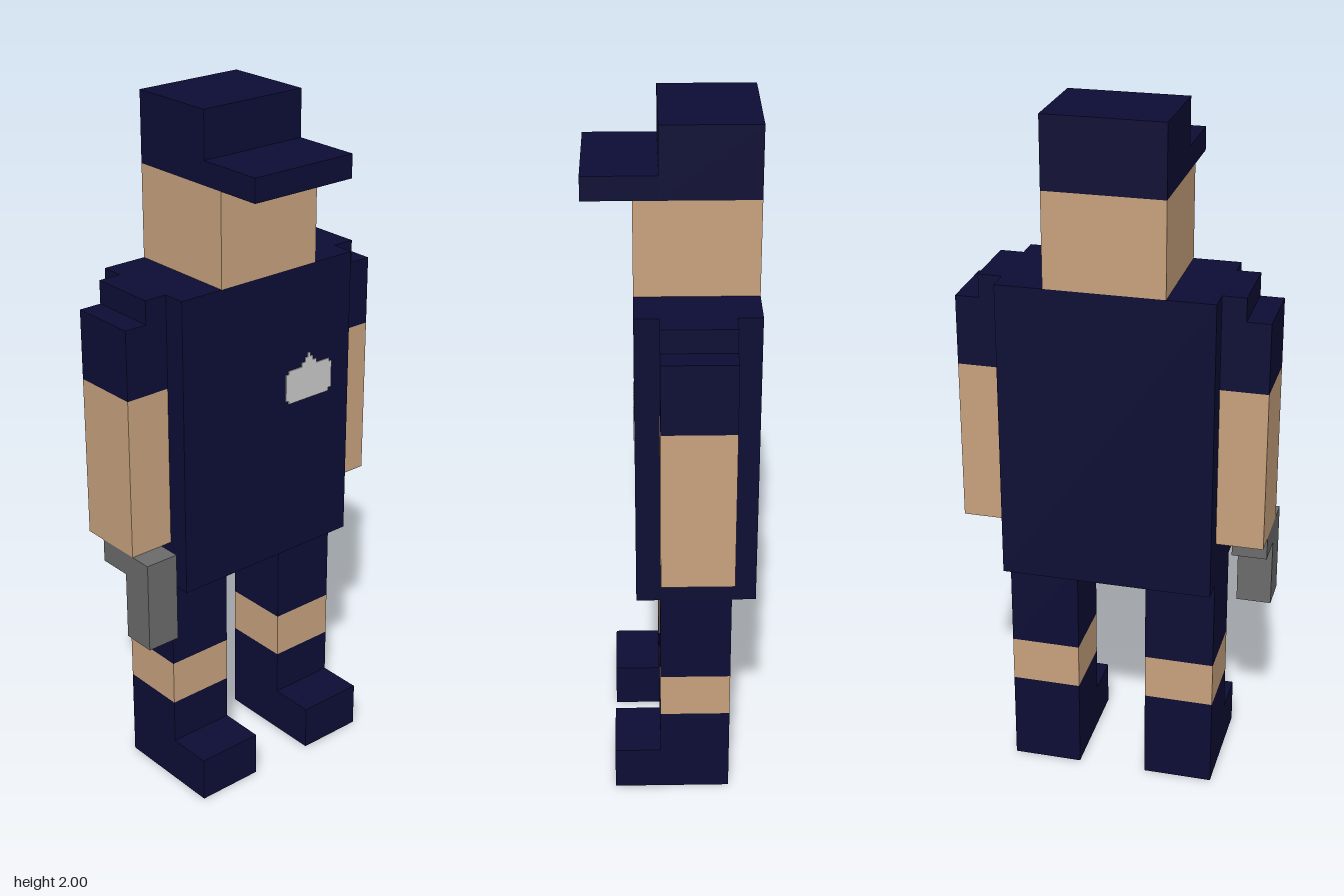
import * as THREE from 'three';

const U = 1 / 15; // the figure is laid out on a grid of 30 blocks in height

function makeMaterial(name, color) {
  const m = new THREE.MeshStandardMaterial({ color });
  m.name = name;
  return m;
}

export function createModel() {
  const navy = makeMaterial('navy cloth', 0x0d0d35);
  const skin = makeMaterial('skin', 0xc9a27e);
  const metal = makeMaterial('dark grey metal', 0x6b6b6b);
  const silver = makeMaterial('silver', 0xcbcbcb);

  const model = new THREE.Group();
  model.name = 'officer';

  // Box from min and max corners, given in blocks
  function block(parent, name, material, [x0, x1], [y0, y1], [z0, z1]) {
    const geometry = new THREE.BoxGeometry((x1 - x0) * U, (y1 - y0) * U, (z1 - z0) * U);
    const mesh = new THREE.Mesh(geometry, material);
    mesh.name = name;
    mesh.position.set((x0 + x1) / 2 * U, (y0 + y1) / 2 * U, (z0 + z1) / 2 * U);
    parent.add(mesh);
    return mesh;
  }

  function group(name) {
    const g = new THREE.Group();
    g.name = name;
    model.add(g);
    return g;
  }

  // Body
  block(model, 'torso', navy, [-4.5, 4.5], [10, 23], [-3.5, 1.5]);

  // Head with peaked cap
  const head = group('head');
  block(head, 'face', skin, [-2.5, 2.5], [23, 27], [-3.5, 1.5]);
  block(head, 'capCrown', navy, [-2.5, 2.5], [27, 30], [-3.5, 0.5]);
  block(head, 'capBrim', navy, [-2.5, 2.5], [27, 28], [0.5, 3.5]);

  // Arms and legs, mirrored
  for (const [side, s] of [['left', 1], ['right', -1]]) {
    const span = (a, b) => (s > 0 ? [a, b] : [-b, -a]);

    const arm = group(side + 'Arm');
    block(arm, 'shoulder', navy, span(4.5, 5.5), [22, 23], [-2.5, 0.5]);
    block(arm, 'sleeve', navy, span(4.5, 6.5), [19, 22], [-2.5, 0.5]);
    block(arm, 'forearm', skin, span(4.5, 6.5), [12, 19], [-2.5, 0.5]);

    const leg = group(side + 'Leg');
    block(leg, 'shorts', navy, span(1.5, 4.5), [6, 10], [-2.5, 0.5]);
    block(leg, 'knee', skin, span(1.5, 4.5), [4, 6], [-2.5, 0.5]);
    block(leg, 'boot', navy, span(1.5, 4.5), [0, 4], [-2.5, 0.5]);
    block(leg, 'toe', navy, span(1.5, 4.5), [0, 2], [0.5, 2.5]);
  }

  // Sidearm in the right hand, pointing down
  const sidearm = group('sidearm');
  block(sidearm, 'barrel', metal, [-6.5, -5], [8, 12], [0, 1.5]);
  block(sidearm, 'grip', metal, [-6.5, -5], [11, 12], [-1.5, 0]);

  // Chest badge: a plate with clipped corners and a stepped peak
  const half = [
    [0.075, 1.135], [0.075, 1.145], [0.085, 1.145], [0.085, 1.225], [0.075, 1.225],
    [0.075, 1.235], [0.027, 1.235], [0.027, 1.247], [0.014, 1.247], [0.014, 1.26],
    [0.005, 1.26], [0.005, 1.272],
  ];
  const cx = 0.147;
  const outline = [
    ...half.map(([x, y]) => new THREE.Vector2(cx + x, y)),
    ...half.slice().reverse().map(([x, y]) => new THREE.Vector2(cx - x, y)),
  ];
  const badge = new THREE.Mesh(
    new THREE.ExtrudeGeometry(new THREE.Shape(outline), { depth: 0.003, bevelEnabled: false }),
    silver,
  );
  badge.name = 'badge';
  badge.position.z = 1.5 * U;
  model.add(badge);

  return model;
}
